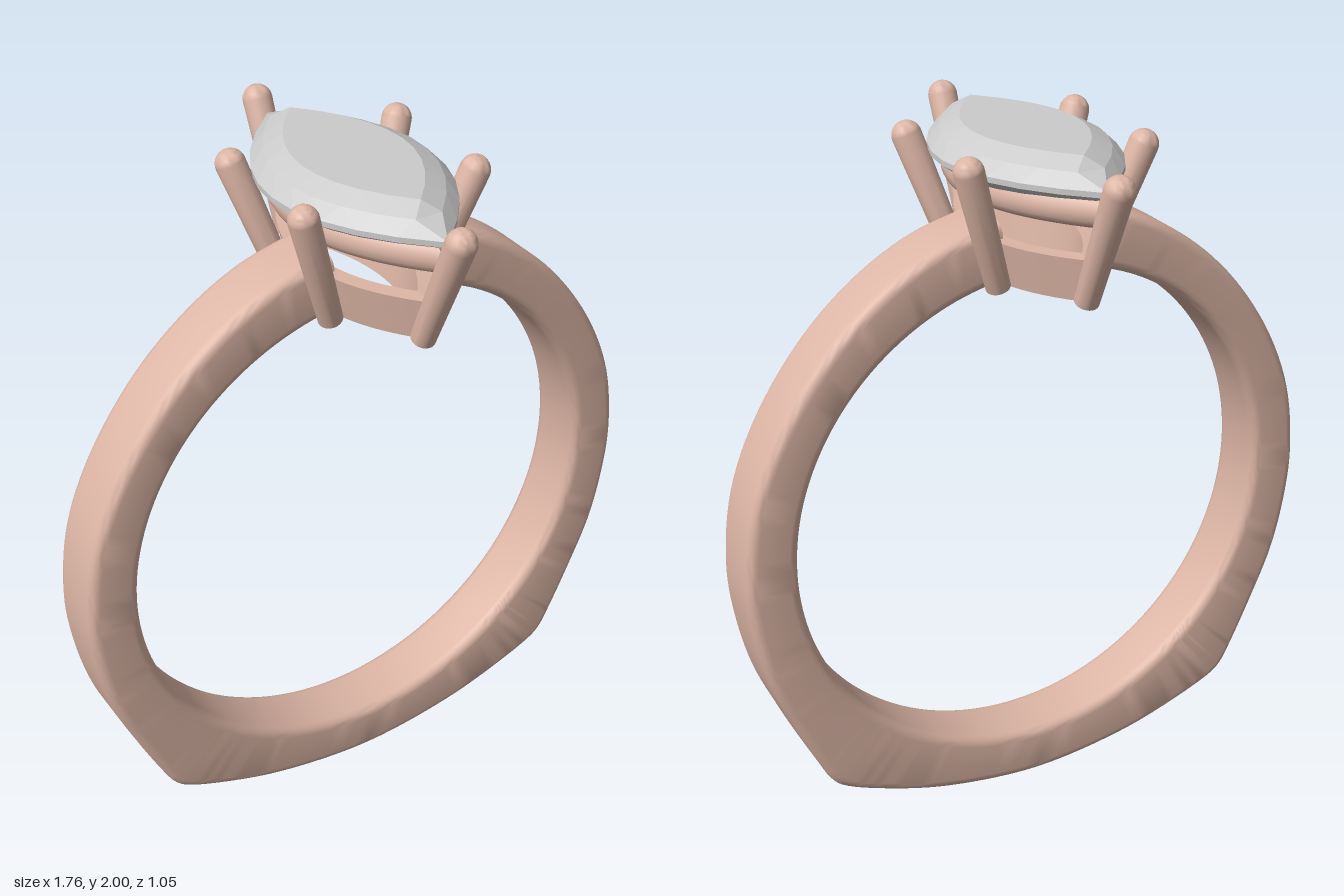
import * as THREE from 'three';
import { toCreasedNormals } from 'three/addons/utils/BufferGeometryUtils.js';

const gold = new THREE.MeshStandardMaterial({ color: 0xdcb5a5 });
const gem = new THREE.MeshStandardMaterial({ color: 0xcccccc, flatShading: true });
const V = (x, y, z) => new THREE.Vector3(x, y, z);

// Skin over a list of closed loops; either capped at both ends or joined end to start.
function loft(loops, joined) {
  const n = loops[0].length, m = loops.length;
  const pts = loops.flat();
  let tris = [];
  for (let r = 0; r < (joined ? m : m - 1); r++) {
    const a = r * n, b = ((r + 1) % m) * n;
    for (let i = 0; i < n; i++) {
      const j = (i + 1) % n;
      tris.push([a + i, a + j, b + i], [a + j, b + j, b + i]);
    }
  }
  if (!joined) {
    for (let i = 1; i < n - 1; i++) {
      const e = (m - 1) * n;
      tris.push([0, i + 1, i], [e, e + i, e + i + 1]);
    }
  }
  // Turn every face outward by the sign of the enclosed volume
  const volume = tris.reduce((s, [a, b, c]) => s + pts[a].dot(pts[b].clone().cross(pts[c])), 0);
  if (volume < 0) tris = tris.map(([a, b, c]) => [a, c, b]);
  const g = new THREE.BufferGeometry().setFromPoints(pts);
  g.setIndex(tris.flat());
  g.computeVertexNormals();
  return g;
}

// Point on a pointed oval; k runs 0..1 once around, tips at k = 0 and 0.5
function marquise(k, halfW, halfL, y) {
  const f = ((k % 1) + 1) % 1;
  const t = f < 0.5 ? 1 - 4 * f : 4 * f - 3;
  return V((f < 0.5 ? 1 : -1) * halfW * (1 - t * t), y, halfL * t);
}

function addMesh(parent, name, geometry, material = gold) {
  const mesh = new THREE.Mesh(geometry, material);
  mesh.name = name;
  parent.add(mesh);
  return mesh;
}

// Shank: round inside, squared-off foot outside, rounded edges, open under the head
function bandGeometry() {
  const half = [
    [0.12, 1.778], [0.3, 1.728], [0.46, 1.64], [0.62, 1.5], [0.765, 1.3], [0.85, 1.1],
    [0.88, 0.88], [0.868, 0.72], [0.83, 0.55], [0.765, 0.39], [0.7, 0.25], [0.665, 0.185],
    [0.635, 0.155], [0.5, 0.095], [0.3, 0.035],
  ];
  const outline = [...half, [0, 0], ...half.map(([x, y]) => [-x, y]).reverse()];
  const curve = new THREE.CatmullRomCurve3(outline.map(([x, y]) => V(x, y, 0)), false, 'centripetal');
  const center = V(0, 0.885, 0), inner = 0.73, halfZ = 0.095, round = 0.03;
  const loops = curve.getPoints(180).map((p) => {
    const dir = p.clone().sub(center);
    const outer = dir.length();
    dir.normalize();
    const loop = [];
    for (let c = 0; c < 4; c++) {
      const sr = c === 0 || c === 3 ? 1 : -1, sz = c < 2 ? 1 : -1;
      for (let i = 0; i <= 5; i++) {
        const a = (c + i / 5) * Math.PI / 2;
        const r = (sr > 0 ? outer - round : inner + round) + round * Math.cos(a);
        const q = center.clone().addScaledVector(dir, r);
        q.z = sz * (halfZ - round) + round * Math.sin(a);
        loop.push(q);
      }
    }
    return loop;
  });
  return toCreasedNormals(loft(loops, false), 0.7);
}

// Gallery rail: section points are [halfWidth, halfLength, y], sagging slightly at the middle
function railGeometry(section, sag) {
  const loops = [];
  for (let i = 0; i < 72; i++) {
    loops.push(section.map(([w, l, y]) => {
      const p = marquise(i / 72, w, l, y);
      p.y -= sag * (1 - (p.z / l) ** 2);
      return p;
    }));
  }
  return toCreasedNormals(loft(loops, true), 0.7);
}

// Prong: slim tapered post with a domed tip
function addProng(parent, name, foot, tip) {
  const h = foot.distanceTo(tip), r = 0.041;
  const profile = [new THREE.Vector2(0, 0), new THREE.Vector2(0.034, 0)];
  for (let i = 0; i <= 8; i++) {
    const a = i / 8 * Math.PI / 2;
    profile.push(new THREE.Vector2(r * Math.cos(a), h - r + r * Math.sin(a)));
  }
  const mesh = addMesh(parent, name, toCreasedNormals(new THREE.LatheGeometry(profile, 24), 0.7));
  mesh.position.copy(foot);
  mesh.quaternion.setFromUnitVectors(V(0, 1, 0), tip.clone().sub(foot).normalize());
}

// Stone: stacked rings, each turned half a step to make triangular facets
function stoneGeometry() {
  const n = 20;
  const rings = [
    // halfWidth, halfLength, y, turn in steps
    [0.012, 0.1, 1.775, -1],
    [0.13, 0.25, 1.845, -0.5],
    [0.24, 0.43, 1.922, 0],
    [0.24, 0.43, 1.937, 0],
    [0.205, 0.385, 1.972, 0.5],
    [0.15, 0.31, 2.0, 1],
  ];
  return loft(rings.map(([w, l, y, turn]) =>
    Array.from({ length: n }, (_, i) => marquise((i + turn) / n, w, l, y))), false);
}

export function createModel() {
  const ring = new THREE.Group();
  ring.name = 'ring';
  addMesh(ring, 'band', bandGeometry());

  const head = new THREE.Group();
  head.name = 'head';
  ring.add(head);

  // Lower rail is a flared wall, upper rail a rounded wire
  addMesh(head, 'lowerRail', railGeometry(
    [[0.13, 0.34, 1.62], [0.155, 0.375, 1.742], [0.11, 0.305, 1.742], [0.09, 0.275, 1.62]], 0.01));
  const wire = Array.from({ length: 14 }, (_, i) => {
    const a = i / 14 * Math.PI * 2;
    return [0.168 + 0.028 * Math.cos(a), 0.37 + 0.042 * Math.cos(a), 1.87 + 0.04 * Math.sin(a)];
  });
  addMesh(head, 'upperRail', railGeometry(wire, 0));

  // One prong at each tip and two along each side
  for (const s of [1, -1]) {
    addProng(head, s > 0 ? 'frontProng' : 'backProng', V(0, 1.62, 0.335 * s), V(0, 1.995, 0.5 * s));
    for (const sx of [1, -1]) {
      addProng(head, 'sideProng', V(0.14 * sx, 1.61, 0.115 * s), V(0.267 * sx, 1.995, 0.188 * s));
    }
  }

  addMesh(head, 'stone', stoneGeometry(), gem);
  return ring;
}
